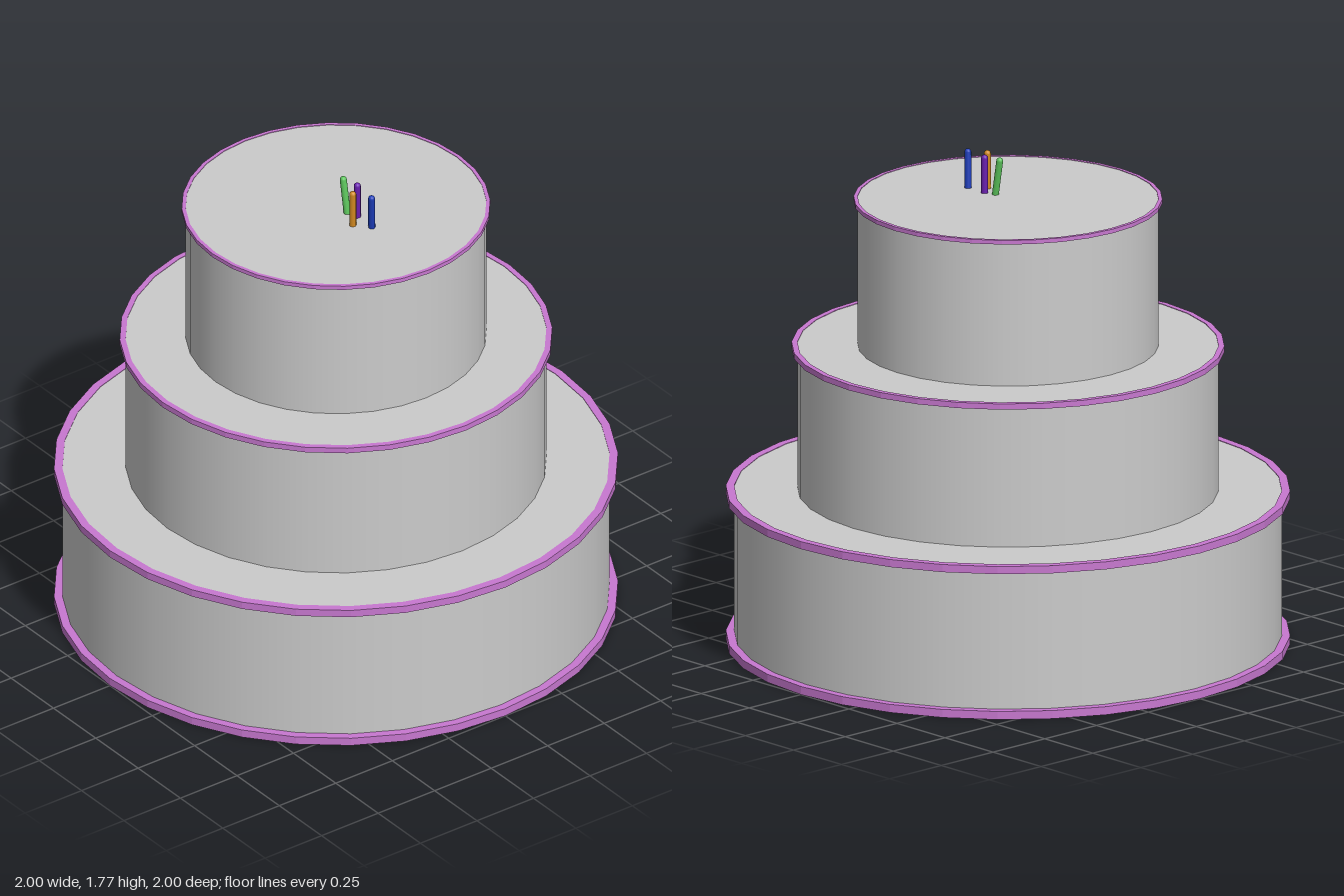
import * as THREE from 'three';

const SIDES = 32;
const PINK = 0xc878d0;

function part(name, geometry, color = 0xcccccc) {
  const mesh = new THREE.Mesh(geometry, new THREE.MeshStandardMaterial({ color }));
  mesh.name = name;
  return mesh;
}

// Square-section ring of icing hugging a tier
function icingBand(name, inner, outer, bottom, top) {
  const shape = new THREE.Shape();
  const hole = new THREE.Path();
  for (let i = 0; i < SIDES; i++) {
    const a = (i / SIDES) * Math.PI * 2;
    const draw = i ? 'lineTo' : 'moveTo';
    shape[draw](Math.cos(a) * outer, Math.sin(a) * outer);
    hole[draw](Math.cos(a) * inner, Math.sin(a) * inner);
  }
  shape.holes.push(hole);
  const geometry = new THREE.ExtrudeGeometry(shape, { depth: top - bottom, bevelEnabled: false });
  geometry.rotateX(-Math.PI / 2).translate(0, bottom, 0);
  return part(name, geometry, PINK);
}

// Slim round-tipped candle leaning from its foot to its tip
function candle(name, foot, tip, color) {
  const a = new THREE.Vector3(...foot);
  const b = new THREE.Vector3(...tip);
  const axis = b.clone().sub(a);
  const r = 0.0125;
  const mesh = part(name, new THREE.CapsuleGeometry(r, axis.length() - r, 4, 12), color);
  mesh.position.copy(a).add(b).multiplyScalar(0.5);
  mesh.quaternion.setFromUnitVectors(new THREE.Vector3(0, 1, 0), axis.normalize());
  return mesh;
}

export function createModel() {
  const cake = new THREE.Group();
  cake.name = 'tieredCake';

  // Tiers, each with an icing band around its top edge
  const tiers = [
    { name: 'bottomTier', r: 0.97, band: 1.0, y0: 0.003, y1: 0.562, h: 0.026 },
    { name: 'middleTier', r: 0.746, band: 0.767, y0: 0.55, y1: 1.094, h: 0.019 },
    { name: 'topTier', r: 0.533, band: 0.547, y0: 1.08, y1: 1.633, h: 0.013 },
  ];
  for (const { name, r, band, y0, y1, h } of tiers) {
    const body = part(name, new THREE.CylinderGeometry(r, r, y1 - y0, SIDES));
    body.position.y = (y0 + y1) / 2;
    cake.add(body, icingBand(name + 'Icing', r, band, y1 - h, y1 + 0.002));
  }
  cake.add(icingBand('baseIcing', 0.97, 1.0, 0, 0.03));

  // Candles
  const candles = new THREE.Group();
  candles.name = 'candles';
  candles.add(
    candle('greenCandle', [0.068, 1.62, 0], [0.042, 1.767, 0], 0x5cc45c),
    candle('purpleCandle', [0.107, 1.62, -0.014], [0.107, 1.767, -0.014], 0x6a1fb0),
    candle('orangeCandle', [0.143, 1.62, 0.033], [0.143, 1.767, 0.033], 0xd08820),
    candle('blueCandle', [0.194, 1.62, -0.013], [0.206, 1.767, -0.003], 0x1c3cb8),
  );
  cake.add(candles);
  return cake;
}
